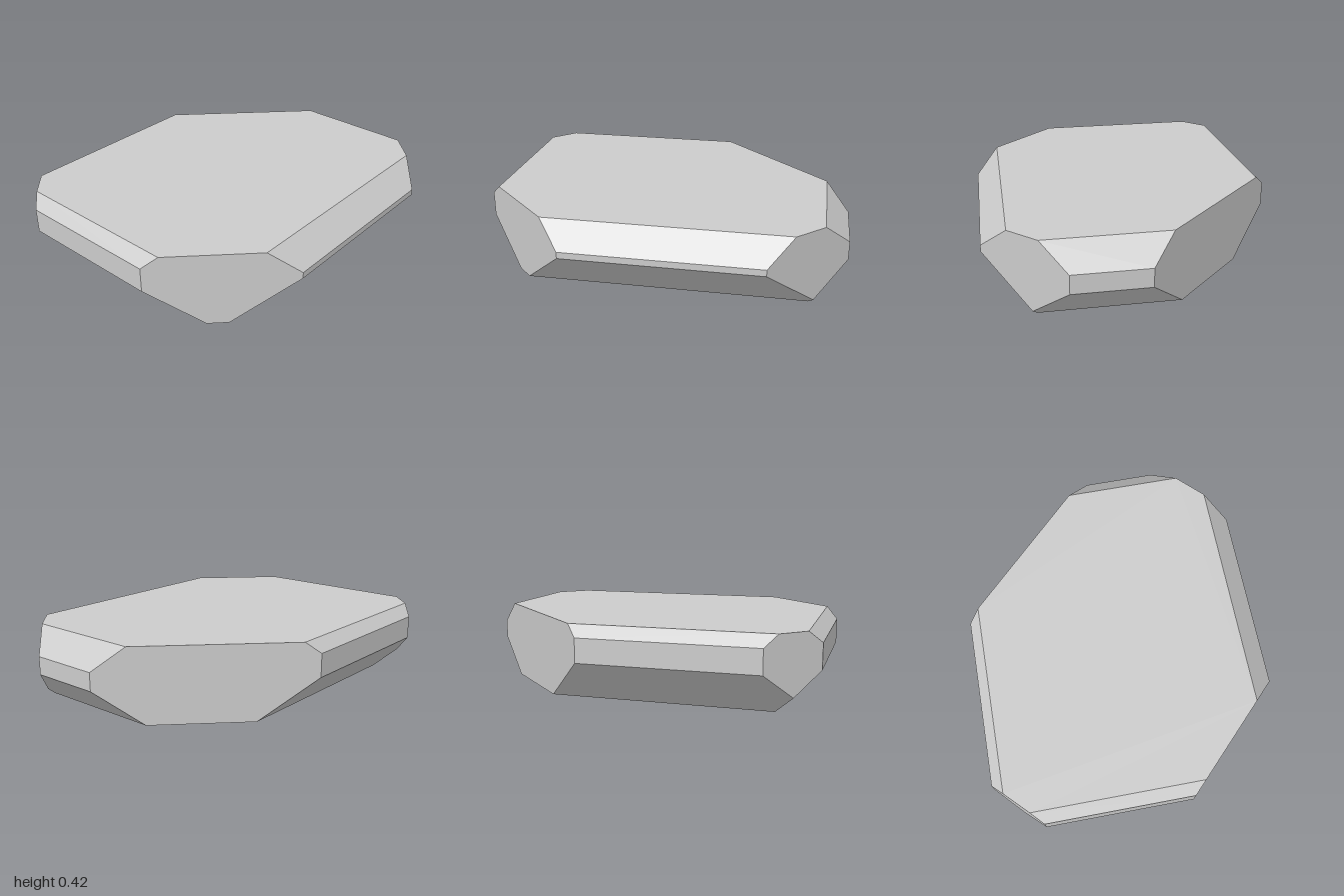
import * as THREE from 'three';
import { ConvexGeometry } from 'three/addons/geometries/ConvexGeometry.js';

// Cutting planes of the faceted slab: normal x, y, z and offset (n . p = d)
const PLANES = [
  // flat sides, bottom and top
  [1, 0, 0, 1], [-1, 0, 0, 1],
  [0, 0, 1, 0.806], [0, 0, -1, 0.806],
  [0, 1, 0, 0.418], [0, -1, 0, 0],
  // upright corner cuts
  [1, 0, 1, 1.41], [1, 0, -1, 0.99], [-1, 0, 1, 1.25], [-1, 0, -1, 1.56],
  // left and right bevels
  [1, 1, 0, 1.29], [-1, 1, 0, 1.355], [1, -1, 0, 0.81], [-1, -1, 0, 0.78],
  // front and back bevels
  [0, 1, 1, 1.097], [0, 1, -1, 1.163], [0, -1, 1, 0.55], [0, -1, -1, 0.577],
];

// Point shared by three planes, or null when they have none
function meet(a, b, c) {
  const m = new THREE.Matrix3().set(
    a[0], a[1], a[2], b[0], b[1], b[2], c[0], c[1], c[2]);
  if (Math.abs(m.determinant()) < 1e-6) return null;
  return new THREE.Vector3(a[3], b[3], c[3]).applyMatrix3(m.invert());
}

// Corners of the solid: meeting points that lie inside every plane
function corners(planes) {
  const found = [];
  for (let i = 0; i < planes.length; i++)
    for (let j = i + 1; j < planes.length; j++)
      for (let k = j + 1; k < planes.length; k++) {
        const p = meet(planes[i], planes[j], planes[k]);
        if (!p) continue;
        const inside = planes.every(([x, y, z, d]) => x * p.x + y * p.y + z * p.z <= d + 1e-6);
        if (inside && !found.some((q) => q.distanceTo(p) < 1e-4)) found.push(p);
      }
  return found;
}

export function createModel() {
  const group = new THREE.Group();
  group.name = 'facetedStone';

  const stone = new THREE.Mesh(
    new ConvexGeometry(corners(PLANES)),
    new THREE.MeshStandardMaterial({ color: 0xcccccc, flatShading: true }));
  stone.name = 'stoneSlab';
  group.add(stone);
  return group;
}
